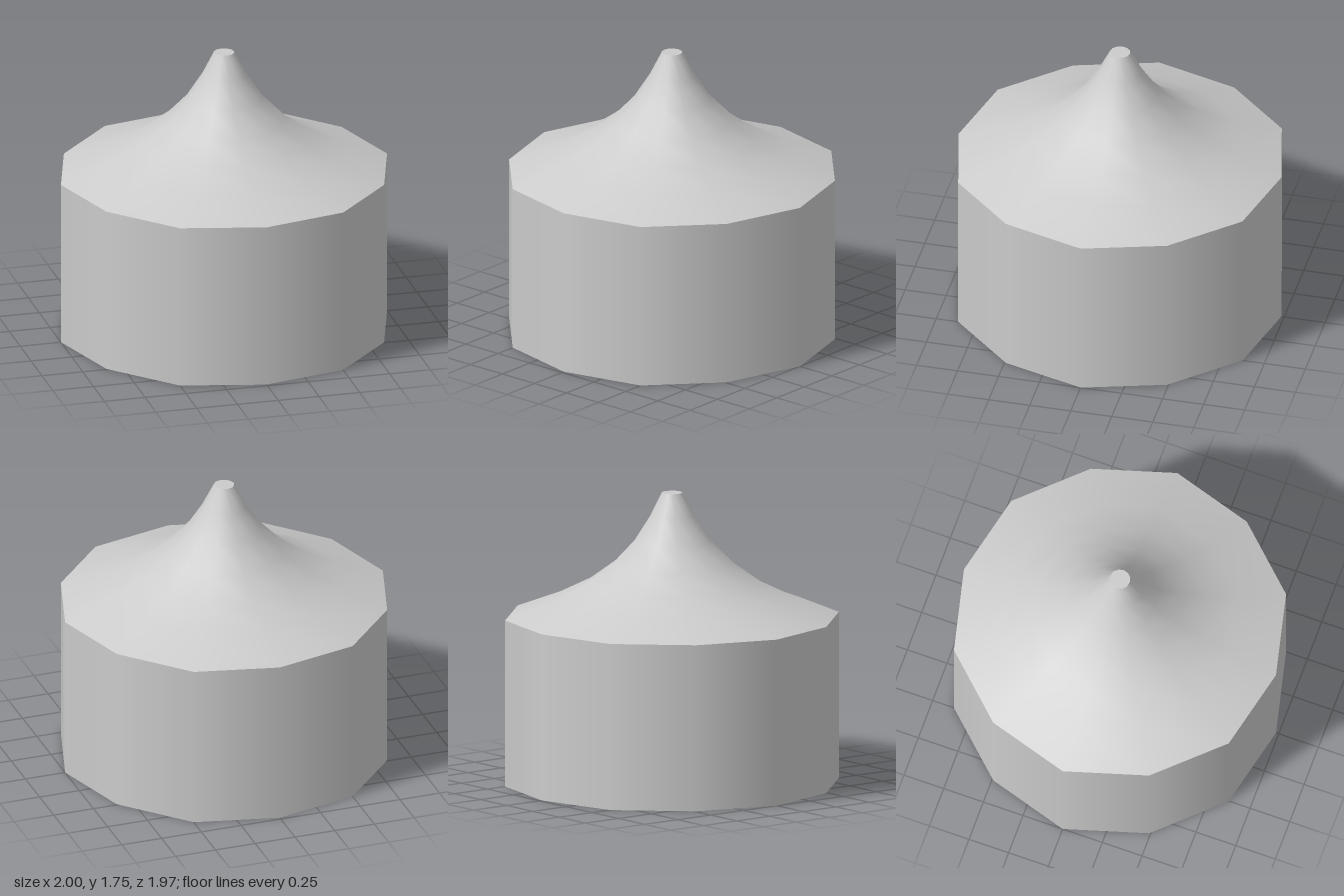
import * as THREE from 'three';

const SIDES = 12;

// Twelve-sided shell of revolution; every second corner is drawn in slightly
function shell(name, profile, material) {
  const geometry = new THREE.LatheGeometry(profile.map(([r, y]) => new THREE.Vector2(r, y)), SIDES);
  const pos = geometry.attributes.position;
  for (let i = 0; i < pos.count; i++) {
    const corner = Math.floor(i / profile.length);
    const k = corner % 2 === 0 ? 0.983 : 1;
    pos.setXYZ(i, pos.getX(i) * k, pos.getY(i), pos.getZ(i) * k);
  }
  const mesh = new THREE.Mesh(geometry, material);
  mesh.name = name;
  return mesh;
}

export function createModel() {
  const group = new THREE.Group();
  group.name = 'roundTent';
  const material = new THREE.MeshStandardMaterial({ color: 0xcccccc, side: THREE.DoubleSide });

  // Upright wall, open underneath
  group.add(shell('wall', [[1, 0], [1, 1]], material));

  // Concave roof sweeping up to the tip
  group.add(shell('roof', [
    [1, 1], [0.72, 1.105], [0.525, 1.2], [0.365, 1.315],
    [0.23, 1.455], [0.133, 1.605], [0.062, 1.745],
  ], material));

  // Flat cap closing the tip
  group.add(shell('tipCap', [[0.062, 1.745], [0, 1.745]], material));

  return group;
}
